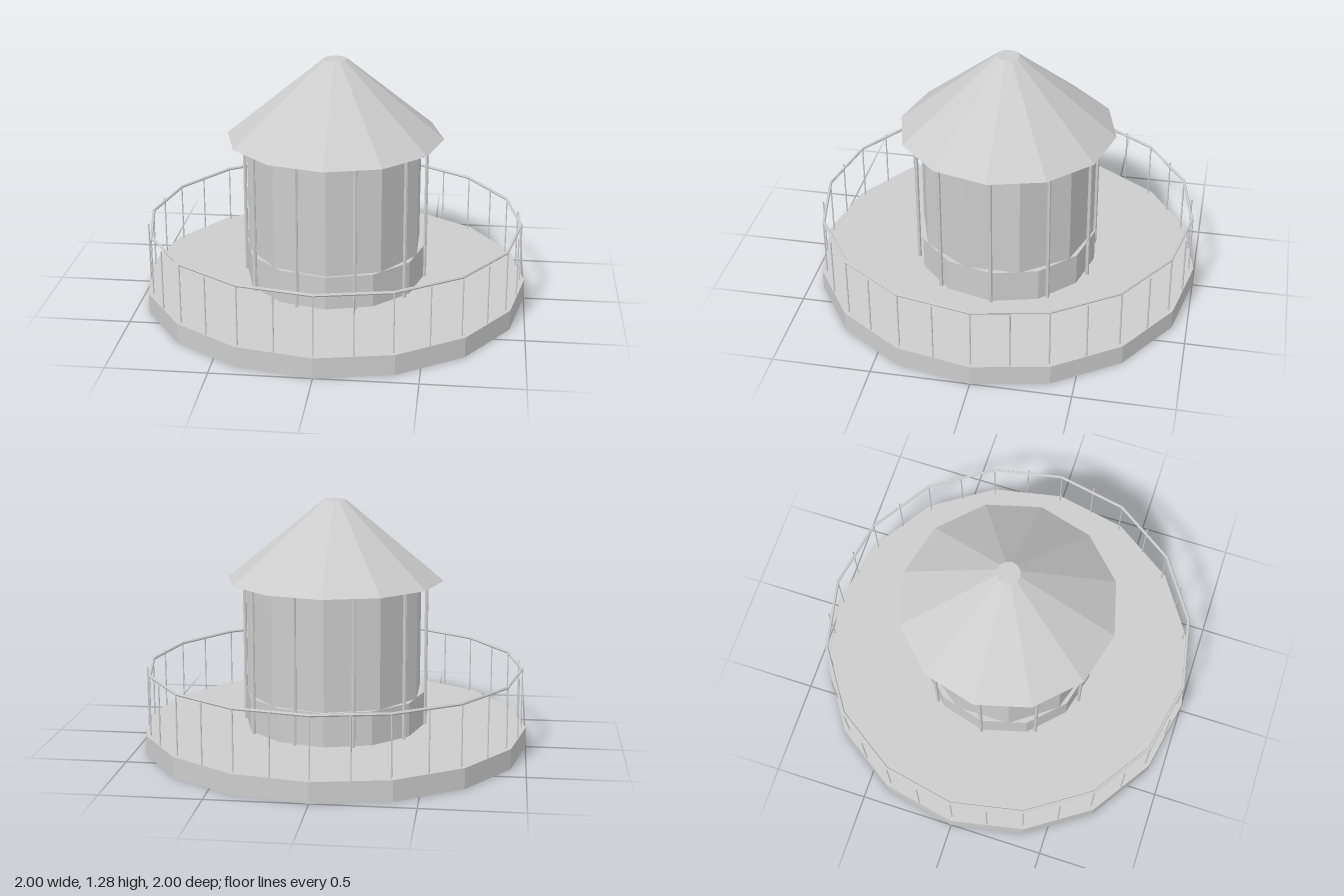
import * as THREE from 'three';

export function createModel() {
  const model = new THREE.Group();
  model.name = 'pavilion';
  const grey = new THREE.MeshStandardMaterial({ color: 0xcccccc, flatShading: true });
  grey.name = 'plain grey';

  // Upright faceted drum from y0 to y1
  function drum(name, rTop, rBottom, y0, y1, sides, parent = model) {
    const mesh = new THREE.Mesh(new THREE.CylinderGeometry(rTop, rBottom, y1 - y0, sides), grey);
    mesh.position.y = (y0 + y1) / 2;
    mesh.name = name;
    parent.add(mesh);
    return mesh;
  }

  // Thin uprights spaced evenly around a circle, the first on +x
  function uprights(name, count, ring, radius, y0, y1) {
    const group = new THREE.Group();
    group.name = name + 's';
    for (let i = 0; i < count; i++) {
      const a = (i / count) * Math.PI * 2;
      const post = drum(name, radius, radius, y0, y1, 6, group);
      post.position.x = ring * Math.cos(a);
      post.position.z = ring * Math.sin(a);
    }
    model.add(group);
  }

  // Deck, plinth, central room and roof
  drum('deck', 1, 1, 0, 0.105, 16);
  drum('plinth', 0.47, 0.47, 0.105, 0.28, 12);
  drum('roomWall', 0.46, 0.46, 0.28, 0.87, 10);
  drum('roof', 0.06, 0.56, 0.87, 1.28, 12);

  // Columns around the room and railing around the deck
  uprights('column', 10, 0.475, 0.01, 0.105, 0.87);
  uprights('railingPost', 32, 0.975, 0.004, 0.105, 0.415);

  const rail = new THREE.Mesh(new THREE.TorusGeometry(0.972, 0.008, 6, 16), grey);
  rail.rotation.x = Math.PI / 2;
  rail.position.y = 0.415;
  rail.name = 'handrail';
  model.add(rail);

  return model;
}
